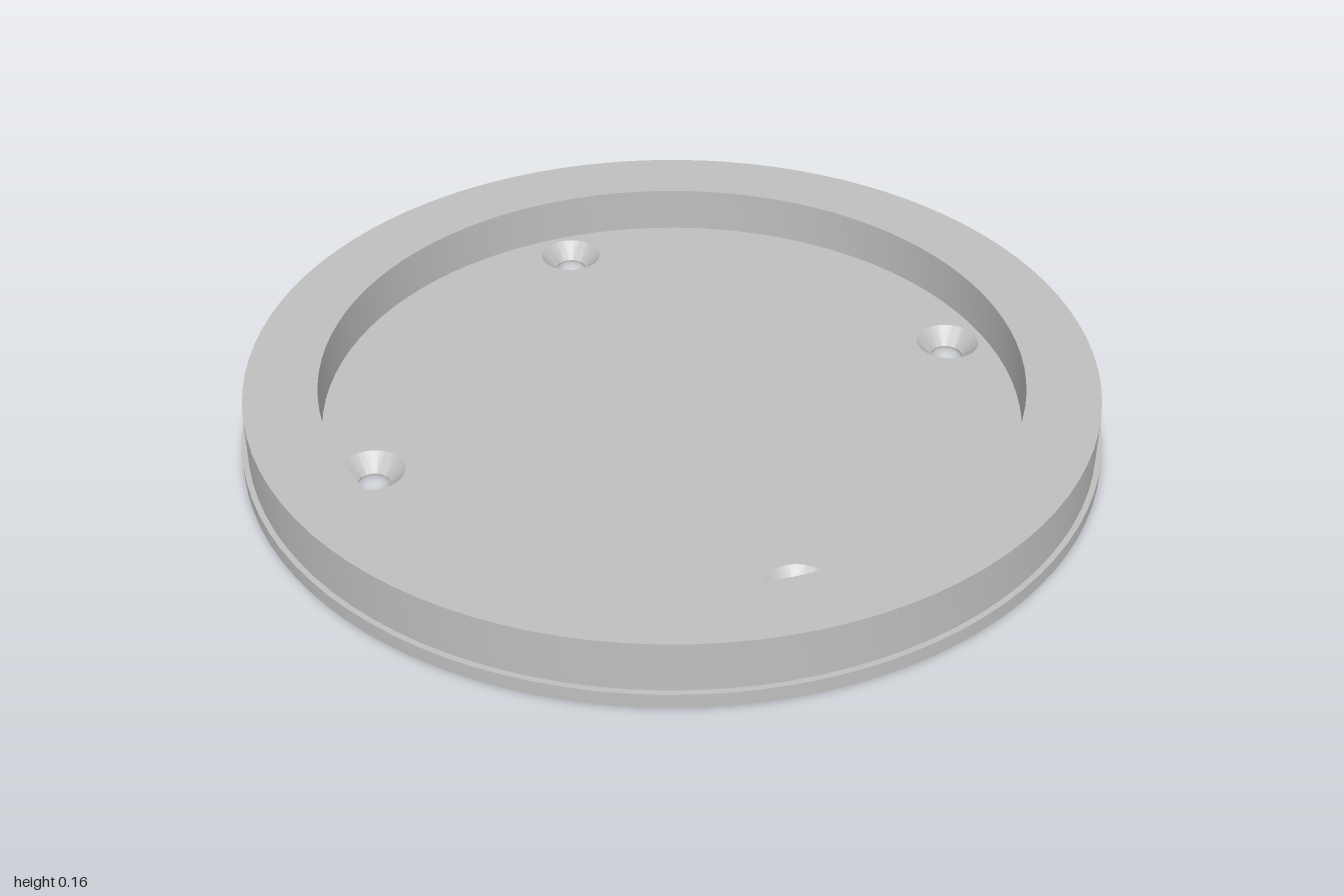
import * as THREE from 'three';
import { toCreasedNormals } from 'three/addons/utils/BufferGeometryUtils.js';

const SEGMENTS = 96;
const FLOOR_Y = 0.043;
const HOLE_OFFSET = 0.513;
const HOLE_RADIUS = 0.037;
const SINK_RADIUS = 0.075;
const corners = [[1, 1], [-1, 1], [-1, -1], [1, -1]];

// Revolved surface with sharp profile corners
function revolve(points, segments) {
  const profile = points.map(([r, y]) => new THREE.Vector2(r, y));
  return toCreasedNormals(new THREE.LatheGeometry(profile, segments), 0.5);
}

// Flat disc with four round holes, facing up or down
function drilledDisc(radius, holeRadius, y, up) {
  const shape = new THREE.Shape().absarc(0, 0, radius, 0, Math.PI * 2, false);
  for (const [sx, sz] of corners) {
    shape.holes.push(new THREE.Path().absarc(
      sx * HOLE_OFFSET, sz * HOLE_OFFSET, holeRadius, 0, Math.PI * 2, true));
  }
  return new THREE.ShapeGeometry(shape, SEGMENTS)
    .rotateX(up ? -Math.PI / 2 : Math.PI / 2)
    .translate(0, y, 0);
}

export function createModel() {
  const group = new THREE.Group();
  group.name = 'mountingDish';
  const grey = new THREE.MeshStandardMaterial({ color: 0xbfbfbf });
  grey.name = 'grey';

  const add = (name, geometry) => {
    const mesh = new THREE.Mesh(geometry, grey);
    mesh.name = name;
    group.add(mesh);
    return mesh;
  };

  // Base flange, outer wall, flat rim and inner wall
  add('rimAndFlange', revolve([
    [1, 0], [1, 0.035], [0.987, 0.035], [0.987, 0.155], [0.817, 0.155], [0.817, FLOOR_Y],
  ], SEGMENTS));

  // Recessed floor and underside
  add('floor', drilledDisc(0.817, SINK_RADIUS, FLOOR_Y, true));
  add('underside', drilledDisc(1, HOLE_RADIUS, 0, false));

  // Countersunk screw holes
  const holeGeometry = revolve([
    [SINK_RADIUS, FLOOR_Y], [HOLE_RADIUS, 0.005], [HOLE_RADIUS, 0],
  ], SEGMENTS);
  for (const [sx, sz] of corners) {
    add('screwHole', holeGeometry).position.set(sx * HOLE_OFFSET, 0, sz * HOLE_OFFSET);
  }

  return group;
}
